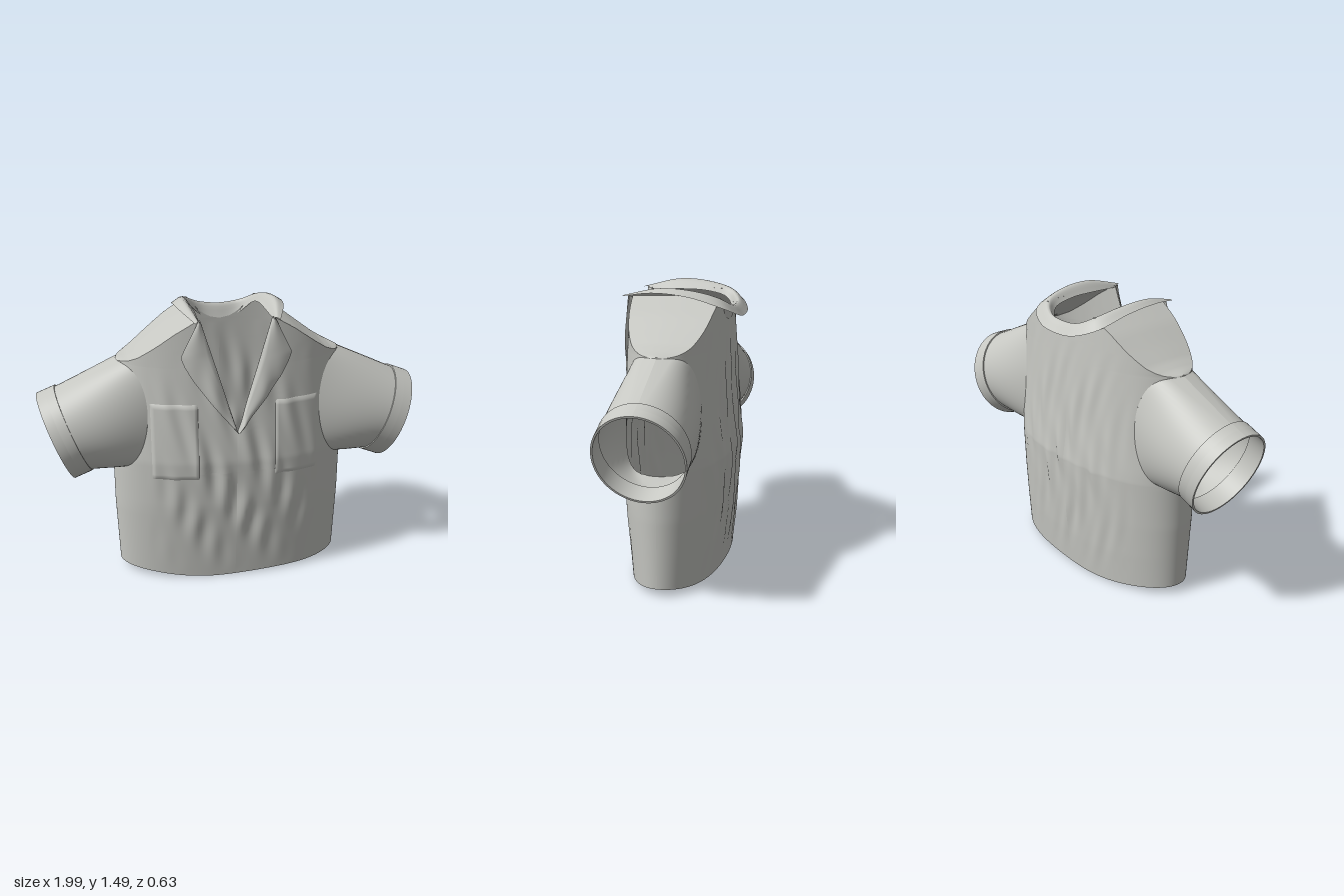
import * as THREE from 'three';

const fabric = new THREE.MeshStandardMaterial({ color: 0xc6c7c2, side: THREE.DoubleSide });
fabric.name = 'grey fabric';

// Piecewise linear lookup in [key, value] pairs
function lookup(table, k) {
  if (k <= table[0][0]) return table[0][1];
  for (let i = 1; i < table.length; i++) {
    const [k0, v0] = table[i - 1], [k1, v1] = table[i];
    if (k <= k1) return v0 + (v1 - v0) * (k - k0) / (k1 - k0);
  }
  return table[table.length - 1][1];
}
const lerp = THREE.MathUtils.lerp;

// Surface from fn(u, v) -> [x, y, z], with u and v in 0..1
function surface(name, fn, nu, nv, flip = false) {
  const pos = [], idx = [];
  for (let j = 0; j <= nv; j++)
    for (let i = 0; i <= nu; i++) pos.push(...fn(i / nu, j / nv, j));
  for (let j = 0; j < nv; j++)
    for (let i = 0; i < nu; i++) {
      const a = j * (nu + 1) + i, b = a + 1, c = a + nu + 1, d = c + 1;
      if (flip) idx.push(a, d, b, a, c, d);
      else idx.push(a, b, d, a, d, c);
    }
  const g = new THREE.BufferGeometry();
  g.setAttribute('position', new THREE.Float32BufferAttribute(pos, 3));
  g.setIndex(idx);
  g.computeVertexNormals();
  const mesh = new THREE.Mesh(g, fabric);
  mesh.name = name;
  return mesh;
}

// Key heights of the shirt
const ARM_LOW = 0.64, ARM_TOP = 1.21, TOP = 1.45, V_LOW = 0.87, NAPE = 1.32;
const ARM_MID = (ARM_LOW + ARM_TOP) / 2, ARM_R = (ARM_TOP - ARM_LOW) / 2;

// Torso dimensions by height
const halfWidth = y => lookup([[0, 0.605], [0.4, 0.618], [0.7, 0.618], [ARM_TOP, 0.585]], y);
const frontDepth = y => lookup([[0, 0.23], [0.2, 0.247], [0.45, 0.268], [0.7, 0.28], [1, 0.262], [1.2, 0.25], [TOP, 0.235]], y);
const backDepth = y => lookup([[0, 0.24], [0.2, 0.257], [0.45, 0.272], [0.65, 0.284], [0.9, 0.266], [1.2, 0.247], [TOP, 0.23]], y);
const shoulderX = y => lookup([[ARM_TOP, 0.585], [1.225, 0.535], [1.25, 0.485], [1.31, 0.4], [1.38, 0.305], [TOP, 0.19]], y);

// Outer edge of a panel: side seam, armhole, then shoulder slope
function outerX(y) {
  if (y <= ARM_LOW) return halfWidth(y);
  if (y >= ARM_TOP) return shoulderX(y);
  const c = (y - ARM_MID) / ARM_R;
  return halfWidth(y) - 0.155 * Math.pow(Math.max(0, 1 - c * c), 0.45);
}

// Soft vertical folds in the cloth
function folds(x, y, side) {
  const mask = Math.max(0, 1 - (x / 0.47) ** 2) *
    lookup([[0.02, 0], [0.35, 0.8], [0.6, 1], [1.0, 0.8], [1.3, 0]], y);
  return 0.012 * mask * Math.sin(50 * x + 1.6 * Math.sin(6 * y + side)) *
    (0.55 + 0.45 * Math.sin(13 * y + 21 * x + 2 * side));
}

// Depth of the torso at a point; side is 1 for front and -1 for back
function torsoZ(x, y, side) {
  const d = side > 0 ? frontDepth(y) : backDepth(y);
  const k = Math.max(0, 1 - Math.pow(Math.min(1, Math.abs(x) / halfWidth(y)), 2.4));
  return side * (d * Math.sqrt(k) + folds(x, y, side));
}

// Rows: even below and above the armhole, cosine spaced beside it
const rows = [];
for (let i = 0; i < 30; i++) rows.push(ARM_LOW * i / 30);
for (let i = 0; i < 30; i++) rows.push(ARM_MID - ARM_R * Math.cos(Math.PI * i / 30));
for (let i = 0; i <= 24; i++) rows.push(lerp(ARM_TOP, TOP, i / 24));

function panel(name, m, side) {
  return surface(name, (u, v, j) => {
    const y = rows[j];
    const inner = side > 0
      ? 0.18 * Math.max(0, (y - V_LOW) / (TOP - V_LOW))
      : 0.18 * Math.sqrt(Math.max(0, (y - NAPE) / (TOP - NAPE)));
    const x = m * lerp(inner, outerX(y), Math.sin(u * Math.PI / 2));
    const lift = Math.max(0, 1 - y / 0.4) * (0.04 * (x / 0.6) ** 2 + 0.006 + 0.005 * Math.sin(9 * x));
    return [x, y + lift, torsoZ(x, y, side)];
  }, 60, rows.length - 1, m * side < 0);
}

// Shoulder yoke between the front and back panels
function yoke(m) {
  return surface('shoulderYoke', (u, v) => {
    const y = lerp(ARM_TOP, TOP, v * v), x = shoulderX(y);
    const z = lerp(torsoZ(x, y, 1), torsoZ(x, y, -1), u);
    return [m * x, y + 0.006 * Math.sin(Math.PI * u), z];
  }, 16, 24, m < 0);
}

// Ring of the sleeve at the cuff end; along is 0 at the band seam, 1 at the opening
function cuffPoint(a, along, grow) {
  const c = Math.cos(a) * grow, s = Math.sin(a) * grow;
  return [lerp(0.815, 0.908, along) + 0.085 * c, lerp(0.842, 0.805, along) + 0.223 * c, 0.218 * s];
}

function sleeve(m) {
  const group = new THREE.Group();
  group.name = 'sleeve';
  group.add(surface('sleeveTube', (u, v) => {
    const a = u * Math.PI * 2, side = u < 0.5 ? 1 : -1;
    const y = ARM_MID + ARM_R * Math.cos(a), x = outerX(y);
    const start = [x, y, torsoZ(x, y, side)], end = cuffPoint(a, 0, 1);
    const puff = 1 + 0.05 * Math.sin(Math.PI * v);
    return [m * lerp(start[0], end[0], v), lerp(start[1], end[1], v), puff * lerp(start[2], end[2], v)];
  }, 60, 16, m < 0));
  // Folded band: seam, outside, rim, inside
  const band = [[0, 0.995], [0, 1.03], [0.5, 1.03], [1, 1.03], [1, 0.985], [0, 0.975]];
  for (let k = 0; k < band.length - 1; k++)
    group.add(surface('sleeveCuff', (u, v) => {
      const p = cuffPoint(u * Math.PI * 2, lerp(band[k][0], band[k + 1][0], v), lerp(band[k][1], band[k + 1][1], v));
      return [m * p[0], p[1], p[2]];
    }, 60, 1, m < 0));
  return group;
}

// Patch pocket lying just over the front panel, with its edges turned in
function pocket(m) {
  return surface('chestPocket', (u, v) => {
    const x = m * lerp(0.2, 0.435, u), y = lerp(0.61, 1.02, v);
    const edge = u === 0 || u === 1 || v === 0 || v === 1;
    return [x, y, torsoZ(x, y, 1) + (edge ? 0 : 0.008)];
  }, 24, 30, m < 0);
}

// Lapel folded back from the neck opening
const lapelEdge = [[V_LOW, 0.004], [0.95, 0.07], [1.05, 0.15], [1.15, 0.222], [1.22, 0.262], [1.27, 0.282], [1.36, 0.237], [TOP, 0.192]];
function lapel(m) {
  return surface('lapel', (u, v) => {
    const y = lerp(V_LOW, TOP, v);
    const x = m * lerp(0.18 * v, lookup(lapelEdge, y), u);
    const roll = 0.012 + 0.014 * Math.sin(Math.PI * Math.min(1, u * 0.85)) + 0.015 * (1 - v) ** 3;
    return [x, y, torsoZ(x, y, 1) + (u === 0 ? 0.002 : roll)];
  }, 12, 40, m < 0);
}

// Collar rolled over from the neck seam, across a ridge, to the outer edge
const fullCurve = half => {
  const pts = half.map(p => new THREE.Vector3(...p));
  const other = pts.slice(0, -1).reverse().map(p => new THREE.Vector3(-p.x, p.y, p.z));
  return new THREE.CatmullRomCurve3([...pts, ...other]);
};
const collarCurves = [
  [[0.185, 1.44, 0.23], [0.18, 1.445, 0.08], [0.178, 1.44, -0.08], [0.165, 1.41, -0.19], [0.1, 1.345, -0.235], [0, 1.32, -0.24]],
  [[0.195, 1.455, 0.26], [0.225, 1.495, 0.08], [0.222, 1.487, -0.08], [0.19, 1.453, -0.21], [0.11, 1.412, -0.26], [0, 1.398, -0.265]],
  [[0.21, 1.448, 0.28], [0.268, 1.475, 0.1], [0.277, 1.46, -0.08], [0.245, 1.405, -0.25], [0.13, 1.36, -0.31], [0, 1.345, -0.316]],
].map(fullCurve);
function collar() {
  return surface('collar', (u, v) => {
    const across = new THREE.CatmullRomCurve3(collarCurves.map(c => c.getPoint(u)));
    return across.getPoint(v).toArray();
  }, 64, 10);
}

export function createModel() {
  const shirt = new THREE.Group();
  shirt.name = 'shirt';
  for (const m of [1, -1]) {
    shirt.add(panel('frontPanel', m, 1), panel('backPanel', m, -1));
    shirt.add(yoke(m), sleeve(m), pocket(m), lapel(m));
  }
  shirt.add(collar());
  return shirt;
}
